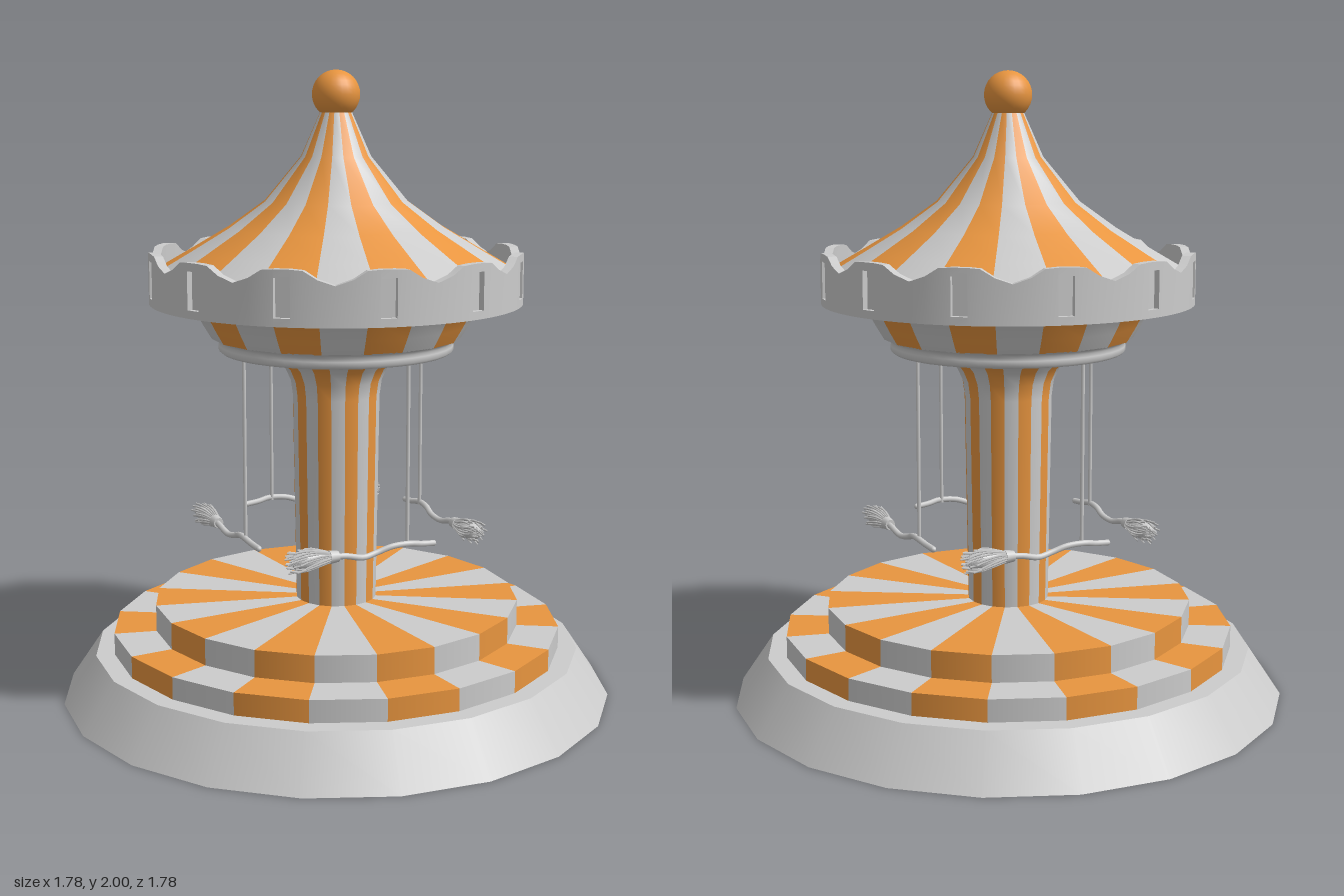
import * as THREE from 'three';
import { mergeGeometries, toCreasedNormals } from 'three/addons/utils/BufferGeometryUtils.js';

const SIDES = 20;
const grey = new THREE.MeshStandardMaterial({ color: 0xcccccc });
const orange = new THREE.MeshStandardMaterial({ color: 0xe8953f });
const points = (list) => list.map(([r, y]) => new THREE.Vector2(r, y));

function mesh(name, geometry, material = grey) {
  const m = new THREE.Mesh(geometry, material);
  m.name = name;
  return m;
}

// Revolved part whose sectors alternate grey and orange.
// A repeated profile point makes a sharp edge.
function striped(name, profile) {
  const sets = [[], []];
  const step = (Math.PI * 2) / SIDES;
  for (let i = 0; i < SIDES; i++) {
    sets[i % 2].push(new THREE.LatheGeometry(points(profile), 1, i * step, step));
  }
  const group = new THREE.Group();
  group.name = name;
  group.add(mesh(name + 'GreyStripes', mergeGeometries(sets[0]), grey));
  group.add(mesh(name + 'OrangeStripes', mergeGeometries(sets[1]), orange));
  return group;
}

const revolved = (name, profile, sides = SIDES) =>
  mesh(name, new THREE.LatheGeometry(points(profile), sides));

// Step with a sharp rim.
const stepProfile = (r, y0, y1) => [[r, y0], [r, y1], [r, y1], [0, y1]];

// Box bent into a piece of ring between two angles in degrees.
function ringPiece(a0, a1, r0, r1, bottom, top) {
  const g = new THREE.BoxGeometry(1, 1, 1);
  const p = g.attributes.position;
  for (let i = 0; i < p.count; i++) {
    const t = p.getX(i) + 0.5;
    const a = THREE.MathUtils.degToRad(THREE.MathUtils.lerp(a0, a1, t));
    const r = p.getZ(i) > 0 ? r1 : r0;
    const y = p.getY(i) > 0 ? THREE.MathUtils.lerp(top[0], top[1], t) : bottom;
    p.setXYZ(i, r * Math.sin(a), y, r * Math.cos(a));
  }
  return g;
}

// Scalloped band: twelve panels, each with a small recessed window.
function scallopedBand() {
  const angles = [0, 5, 9, 12.6, 17.4, 21, 25, 30];
  const tops = [1.4, 1.417, 1.442, 1.445, 1.445, 1.442, 1.417, 1.4];
  const inner = 0.562, outer = 0.59, low = 1.28;
  const pieces = [];
  for (let panel = 0; panel < 12; panel++) {
    for (let i = 0; i < 7; i++) {
      const a0 = panel * 30 + angles[i], a1 = panel * 30 + angles[i + 1];
      const top = [tops[i], tops[i + 1]];
      if (i === 3) {
        pieces.push(ringPiece(a0, a1, inner, outer, low, [1.305, 1.305]));
        pieces.push(ringPiece(a0, a1, inner, outer - 0.018, 1.305, [1.42, 1.42]));
        pieces.push(ringPiece(a0, a1, inner, outer, 1.42, top));
      } else {
        pieces.push(ringPiece(a0, a1, inner, outer, low, top));
      }
    }
  }
  return mesh('scallopedBand', toCreasedNormals(mergeGeometries(pieces), 0.4));
}

const tube = (pts, segments, radius, sides) => new THREE.TubeGeometry(
  new THREE.CatmullRomCurve3(pts.map((p) => new THREE.Vector3(...p))), segments, radius, sides);

// Geometry of a broom lying along x, bristles toward -x.
function broomParts() {
  const handle = tube([[-0.21, 0.552, 0], [-0.16, 0.55, 0.004], [-0.1, 0.537, 0], [-0.05, 0.545, -0.006],
    [0, 0.56, 0], [0.06, 0.563, 0.005], [0.1, 0.556, 0], [0.145, 0.552, -0.004]], 28, 0.0095, 8);
  const tip = new THREE.SphereGeometry(0.0095, 8, 6).translate(0.145, 0.552, -0.004);

  const binding = new THREE.CylinderGeometry(0.017, 0.021, 0.03, 10);
  binding.rotateZ(-Math.PI / 2).translate(-0.2, 0.552, 0);

  // Solid core, then strands splayed on a golden-angle spiral
  const core = new THREE.LatheGeometry(
    points([[0, 0], [0.014, 0], [0.024, 0.045], [0.029, 0.09], [0.022, 0.125], [0, 0.13]]), 10);
  core.rotateZ(Math.PI / 2).translate(-0.205, 0.552, 0);
  const bristles = [core];
  const count = 64;
  for (let i = 0; i < count; i++) {
    const a = i * 2.39996;
    const spread = Math.sqrt((i + 0.5) / count);
    const length = 0.145 + 0.02 * Math.sin(i * 5.3) - 0.025 * spread;
    const at = (t, r, twist) => [-0.205 - t * length,
      0.552 + r * spread * Math.cos(a + twist), r * spread * Math.sin(a + twist)];
    bristles.push(tube([at(0, 0.014, 0), at(0.4, 0.028, 0.1), at(0.75, 0.036, 0.3),
      at(1, 0.034 + 0.008 * Math.sin(i * 3.1), 0.5)], 5, 0.0033, 4));
  }
  return { handle: mergeGeometries([handle, tip]), binding, bristles: mergeGeometries(bristles) };
}

export function createModel() {
  const model = new THREE.Group();
  model.name = 'carousel';

  // Plinth and steps
  model.add(revolved('plinth', [[0, 0], [0.89, 0], [0.89, 0], [0.785, 0.155], [0.785, 0.155], [0, 0.155]]));
  model.add(striped('lowerStep', stepProfile(0.725, 0.155, 0.225)));
  model.add(striped('upperStep', stepProfile(0.59, 0.225, 0.31)));

  // Pillar flaring into the underside of the canopy
  model.add(striped('pillar', [[0.13, 0.31], [0.14, 0.98], [0.147, 1.03], [0.165, 1.07],
    [0.195, 1.1], [0.24, 1.12], [0.35, 1.13]]));
  model.add(revolved('canopyRing', [[0.335, 1.135], [0.345, 1.122], [0.365, 1.122], [0.374, 1.13],
    [0.374, 1.145], [0.37, 1.155], [0.38, 1.165], [0.4, 1.172]], 40));
  model.add(striped('canopyBowl', [[0.398, 1.17], [0.425, 1.215], [0.46, 1.28], [0.565, 1.385]]));

  // Canopy
  model.add(scallopedBand());
  model.add(striped('roof', [[0.562, 1.385], [0.455, 1.447], [0.34, 1.515], [0.225, 1.597],
    [0.11, 1.735], [0.05, 1.87], [0.03, 1.9]]));
  const finial = mesh('finial', new THREE.SphereGeometry(0.075, 24, 16), orange);
  finial.position.y = 1.925;
  model.add(finial);

  // Four hanging brooms, one per quarter turn
  const parts = broomParts();
  const rodGeometry = new THREE.CylinderGeometry(0.006, 0.006, 0.58, 8);
  for (let i = 0; i < 4; i++) {
    const seat = new THREE.Group();
    seat.name = 'hangingBroom' + (i + 1);
    const rod = mesh('rod', rodGeometry);
    rod.position.set(0.05, 0.845, 0.354);
    const broom = new THREE.Group();
    broom.name = 'broom';
    broom.add(mesh('handle', parts.handle), mesh('binding', parts.binding), mesh('bristles', parts.bristles));
    broom.position.z = 0.349;
    broom.rotation.y = -0.08;
    seat.add(rod, broom);
    seat.rotation.y = (i * Math.PI) / 2;
    model.add(seat);
  }
  return model;
}
